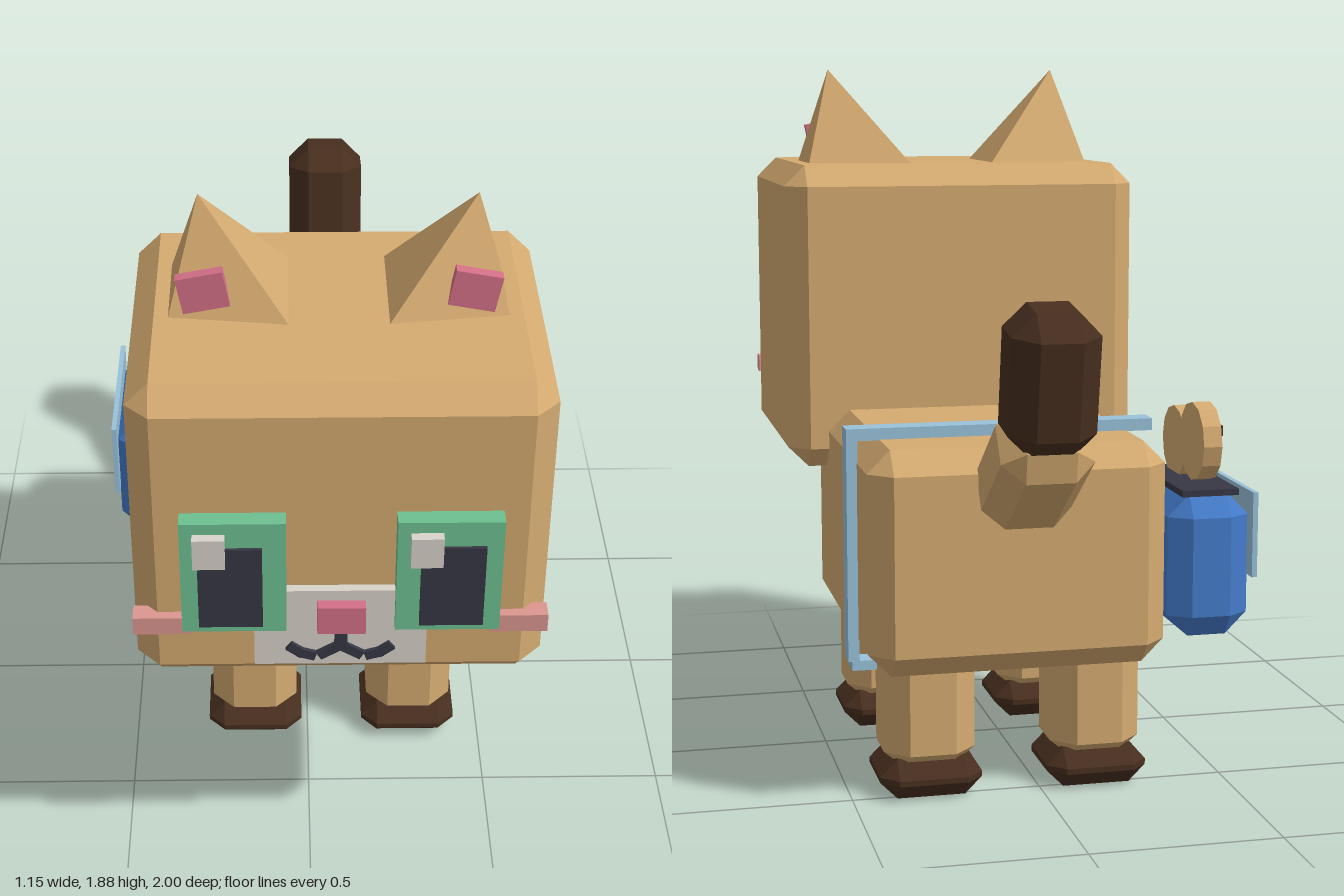
import * as THREE from 'three';
import { ConvexGeometry } from 'three/addons/geometries/ConvexGeometry.js';

const paint = (name, color) => {
  const m = new THREE.MeshStandardMaterial({ color });
  m.name = name;
  return m;
};

export function createModel() {
  const model = new THREE.Group();
  model.name = 'blockCat';
  const CX = 0.07; // mirror plane of the cat itself

  const fur = paint('tan fur', 0xd4aa70);
  const brown = paint('dark brown', 0x482f1f);
  const green = paint('eye green', 0x6dc092);
  const dark = paint('near black', 0x373745);
  const cream = paint('pale grey', 0xd8d3ca);
  const pink = paint('rose pink', 0xd47088);
  const blush = paint('blush', 0xdd9690);
  const sky = paint('light blue', 0x98c2da);
  const blue = paint('bag blue', 0x447ccb);

  const add = (name, geometry, material, x = 0, y = 0, z = 0) => {
    const mesh = new THREE.Mesh(geometry, material);
    mesh.name = name;
    mesh.position.set(x, y, z);
    model.add(mesh);
    return mesh;
  };

  // plain box given by its limits
  const box = (name, mat, x0, x1, y0, y1, z0, z1) =>
    add(name, new THREE.BoxGeometry(x1 - x0, y1 - y0, z1 - z0), mat,
      (x0 + x1) / 2, (y0 + y1) / 2, (z0 + z1) / 2);

  // box with all edges cut flat
  const chamferGeo = (w, h, d, cx, cy = cx, cz = cx) => {
    const pts = [];
    for (const i of [-1, 1]) for (const j of [-1, 1]) for (const k of [-1, 1]) {
      const x = w / 2, y = h / 2, z = d / 2;
      pts.push(
        new THREE.Vector3(i * x, j * (y - cy), k * (z - cz)),
        new THREE.Vector3(i * (x - cx), j * y, k * (z - cz)),
        new THREE.Vector3(i * (x - cx), j * (y - cy), k * z));
    }
    return new ConvexGeometry(pts);
  };

  // body and head
  add('body', chamferGeo(0.785, 0.59, 0.97, 0.06), fur, CX, 0.635, -0.125);
  add('head', chamferGeo(1.005, 0.855, 0.81, 0.058), fur, CX, 1.19, 0.522);
  box('chestPatch', cream, -0.11, 0.25, 0.415, 0.79, 0.34, 0.395);

  // legs and paws
  for (const s of [-1, 1]) for (const z of [0.205, -0.425]) {
    add('leg', chamferGeo(0.242, 0.34, 0.24, 0.06, 0.05, 0.06), fur, CX + s * 0.223, 0.24, z);
    add('paw', chamferGeo(0.27, 0.105, 0.265, 0.045), brown, CX + s * 0.223, 0.0525, z);
  }

  // tail
  add('tailBase', chamferGeo(0.235, 0.38, 0.215, 0.055), fur, CX, 0.905, -0.724).rotation.x = -0.96;
  add('tailTip', chamferGeo(0.22, 0.36, 0.22, 0.058), brown, CX, 1.143, -0.873).rotation.x = -0.17;

  // ears, eyes and cheeks, mirrored about the cat's middle
  for (const s of [-1, 1]) {
    const p = (x, y, z) => new THREE.Vector3(CX + s * x, y, z);
    add('ear', new ConvexGeometry([
      p(0.335, 1.885, 0.462), p(0.413, 1.605, 0.33), p(0.413, 1.605, 0.59),
      p(0.115, 1.61, 0.295), p(0.115, 1.61, 0.625)]), fur);
    const inner = add('innerEar', new THREE.BoxGeometry(0.115, 0.095, 0.03), pink,
      CX + s * 0.325, 1.687, 0.575);
    inner.rotation.z = -s * 0.19;

    const ex = CX + s * 0.257;
    box('eye', green, ex - 0.126, ex + 0.126, 0.965, 1.29, 0.92, 0.972);
    const px = CX + s * 0.265;
    box('pupil', dark, px - 0.077, px + 0.077, 0.985, 1.22, 0.965, 0.98);
    box('eyeGlint', cream, ex - 0.095, ex - 0.018, 1.175, 1.26, 0.965, 0.997);

    const bx = CX + s * 0.434;
    box('cheek', blush, bx - 0.07, bx + 0.07, 0.94, 0.99, 0.902, 0.952);
  }

  // muzzle, nose and mouth
  box('muzzle', cream, -0.14, 0.28, 0.84, 1.07, 0.92, 0.95);
  box('nose', pink, 0.013, 0.13, 0.96, 1.04, 0.93, 0.98);
  box('mouthStem', dark, 0.055, 0.087, 0.895, 0.965, 0.945, 0.96);
  for (const s of [-1, 1]) {
    const stroke = (x, y, len, tilt) => {
      const m = add('mouthStroke', new THREE.BoxGeometry(len, 0.026, 0.015), dark,
        CX + s * x, y, 0.9525);
      m.rotation.z = s * tilt;
    };
    stroke(0.027, 0.888, 0.062, -0.55);
    stroke(0.082, 0.877, 0.045, 0.3);
    stroke(0.108, 0.89, 0.045, 0.65);
  }

  // strap round the body
  box('strapTop', sky, -0.335, 0.49, 0.928, 0.96, -0.39, -0.325);
  box('strapSide', sky, 0.46, 0.49, 0.34, 0.93, -0.39, -0.325);
  box('strapBottom', sky, -0.335, 0.48, 0.315, 0.341, -0.39, -0.325);

  // bag at the right flank
  add('bag', chamferGeo(0.22, 0.38, 0.445, 0.058, 0.058, 0.04), blue, -0.443, 0.59, -0.363);
  box('bagOpening', dark, -0.525, -0.37, 0.775, 0.792, -0.555, -0.17);
  box('bagFlap', sky, -0.566, -0.552, 0.56, 0.787, -0.59, -0.135);
  box('bagClasp', fur, -0.58, -0.565, 0.555, 0.625, -0.4, -0.32);

  // biscuits with chips, standing in the bag
  for (const [z, y, r, x] of [[-0.45, 0.905, 0.105, -0.452], [-0.275, 0.875, 0.1, -0.458]]) {
    const geo = new THREE.CylinderGeometry(r, r, 0.05, 12).toNonIndexed();
    geo.computeVertexNormals();
    add('biscuit', geo, fur, x, y, z).rotation.z = Math.PI / 2;
    for (const [dz, dy] of [[0, 0], [0.05, 0.045], [-0.05, 0.035], [0.045, -0.04], [-0.03, -0.05]]) {
      box('chip', brown, x - 0.04, x - 0.02, y + dy - 0.014, y + dy + 0.014, z + dz - 0.014, z + dz + 0.014);
    }
  }

  return model;
}
